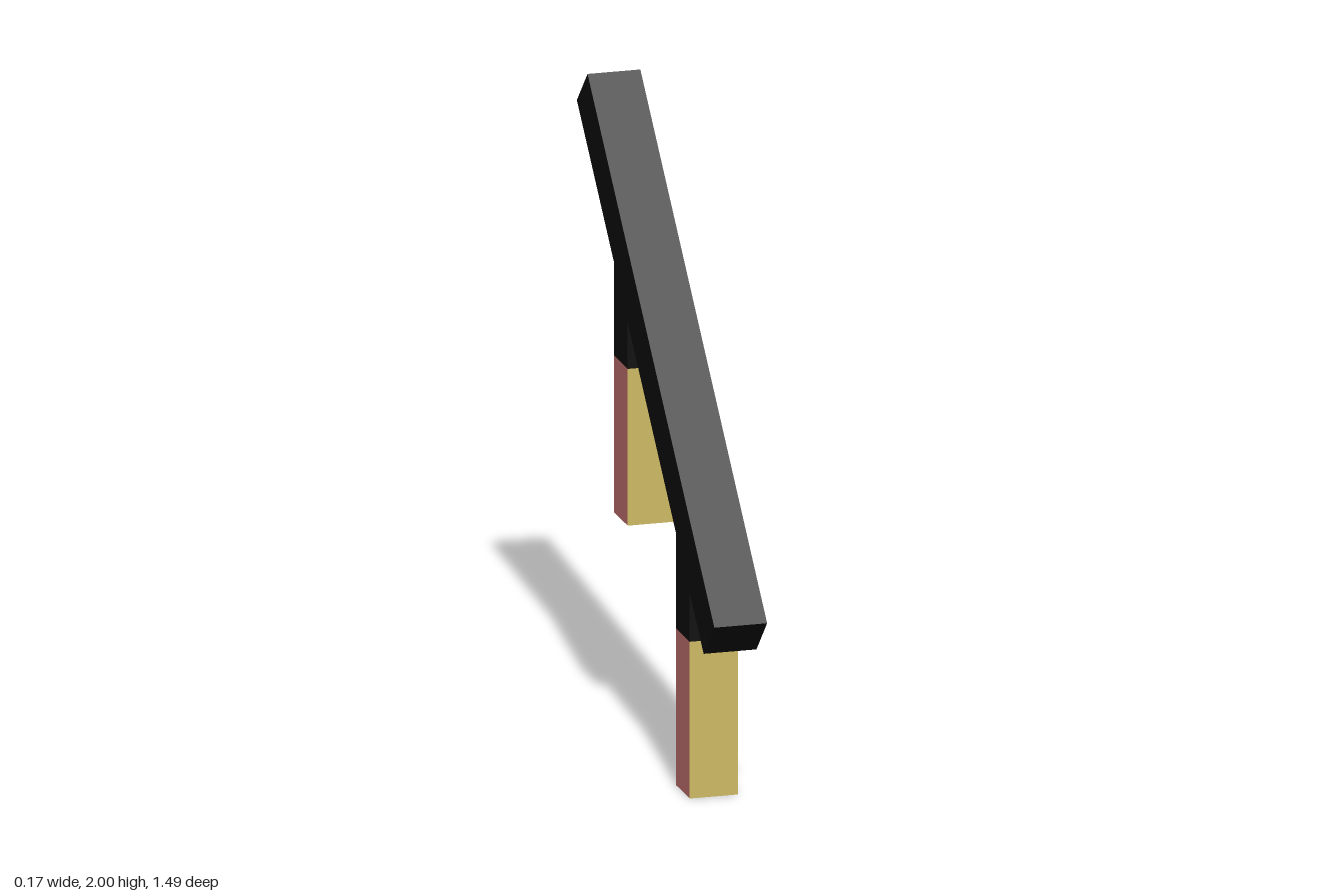
import * as THREE from 'three';

export function createModel() {
  const group = new THREE.Group();
  const mat = (name, color) => {
    const m = new THREE.MeshStandardMaterial({ color });
    m.name = name;
    return m;
  };
  const black = mat('black', 0x0e0e0e);
  const green = mat('green', 0x4acd82);
  const red = mat('red', 0xcd7777);
  const gold = mat('gold', 0xcdb962);
  const blue = mat('blue', 0x549fd0);

  const addBox = (parent, name, size, y, material) => {
    const mesh = new THREE.Mesh(new THREE.BoxGeometry(...size), material);
    mesh.name = name;
    mesh.position.y = y;
    parent.add(mesh);
    return mesh;
  };

  // Sloping rail, rising from the front to the back
  const rail = addBox(group, 'rail', [0.168, 0.165, 1.94], 1.255, black);
  rail.rotation.x = Math.atan2(1.37, 1.38);

  // Two posts: a different colour on each side below, plain black above
  const sides = [green, red, black, black, gold, blue];
  const addPost = (name, y, z) => {
    const post = new THREE.Group();
    post.name = name;
    post.position.set(0, y, z);
    addBox(post, 'paintedPost', [0.154, 0.5, 0.15], 0.25, sides);
    addBox(post, 'postTop', [0.154, 0.375, 0.15], 0.6875, black);
    group.add(post);
  };
  addPost('frontPost', 0, 0.38);
  addPost('backPost', 0.675, -0.293);

  return group;
}
